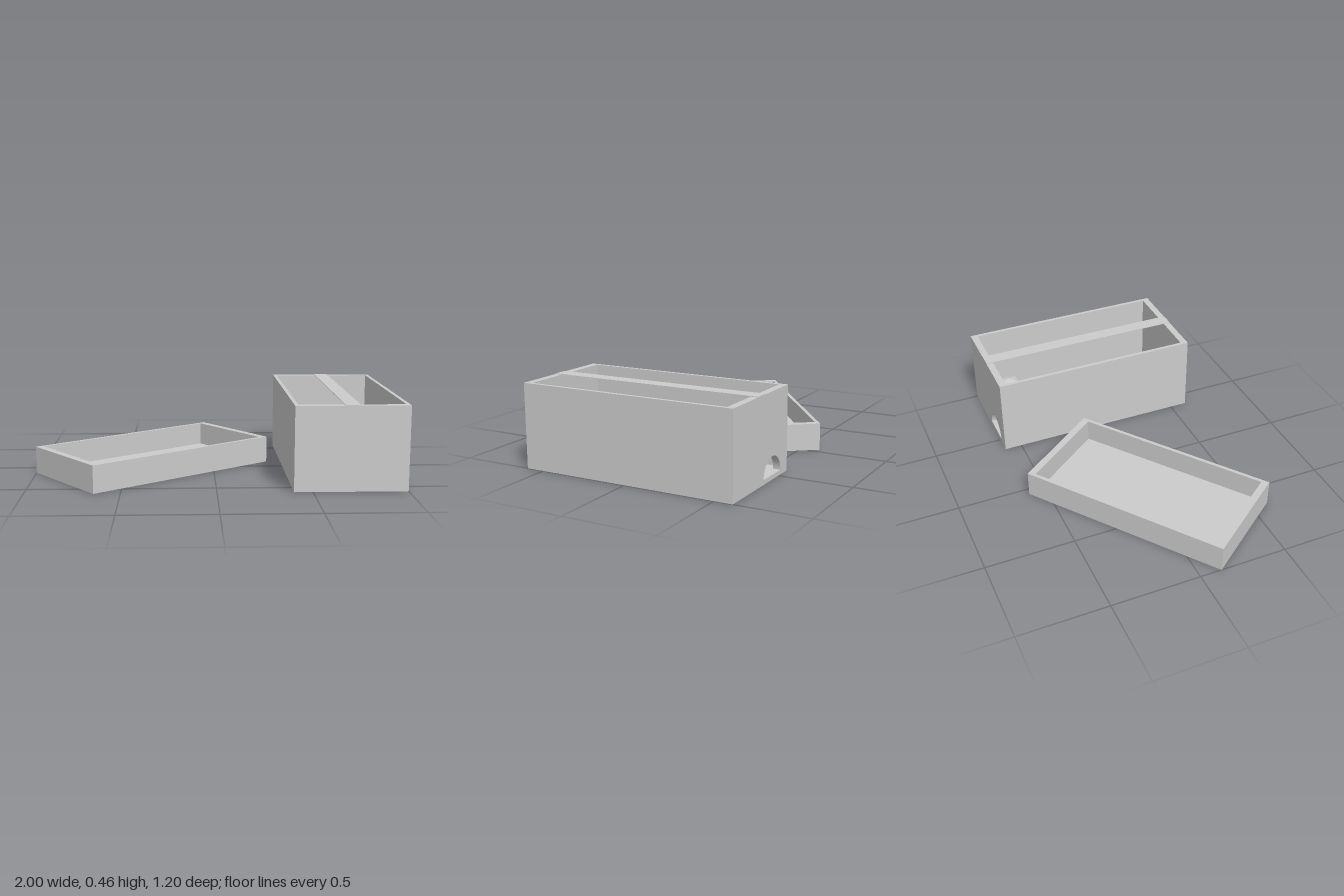
import * as THREE from 'three';

const grey = new THREE.MeshStandardMaterial({ color: 0xcccccc, flatShading: true });
const WIDTH = 0.6, LENGTH = 1.2, SIDE = 0.02, END = 0.04;

function add(parent, name, geometry, x, y, z) {
  const mesh = new THREE.Mesh(geometry, grey);
  mesh.name = name;
  mesh.position.set(x, y, z);
  parent.add(mesh);
  return mesh;
}

// Upright end panel, optionally pierced by a semicircular doorway
function endPanel(height, door) {
  const w = WIDTH / 2 - SIDE;
  const shape = new THREE.Shape();
  shape.moveTo(-w, 0).lineTo(w, 0);
  shape.lineTo(w, height).lineTo(-w, height).closePath();
  if (door) {
    const hole = new THREE.Path();
    hole.absarc(door.x, 0.001, door.radius, 0, Math.PI, false);
    hole.closePath();
    shape.holes.push(hole);
  }
  return new THREE.ExtrudeGeometry(shape, { depth: END, bevelEnabled: false, curveSegments: 16 });
}

// Open-topped box: floor, two long sides, two ends
function openBox(name, height, floor, door) {
  const box = new THREE.Group();
  box.name = name;
  const wall = height - floor;
  add(box, 'floor', new THREE.BoxGeometry(WIDTH, floor, LENGTH), 0, floor / 2, 0);
  for (const s of [-1, 1]) {
    add(box, s > 0 ? 'leftWall' : 'rightWall', new THREE.BoxGeometry(SIDE, wall, LENGTH),
      s * (WIDTH - SIDE) / 2, floor + wall / 2, 0);
  }
  add(box, 'frontWall', endPanel(wall), 0, floor, LENGTH / 2 - END);
  add(box, 'backWall', endPanel(wall, door), 0, floor, -LENGTH / 2);
  return box;
}

export function createModel() {
  const model = new THREE.Group();
  model.name = 'boxWithLid';

  // Main box with a small arched doorway at the back
  const box = openBox('box', 0.454, 0.024, { x: -0.125, radius: 0.098 });
  box.position.x = 0.7;
  model.add(box);

  // Thin strip laid along the middle of the open top
  add(box, 'topStrip', new THREE.BoxGeometry(0.08, 0.003, LENGTH), 0, 0.4555, 0);

  // Faceted ball resting on the floor near the back
  add(box, 'ball', new THREE.IcosahedronGeometry(0.1, 1), 0.1, 0.123, -0.437);

  // Shallow lid lying upside down beside the box
  const lid = openBox('lid', 0.15, 0.02);
  lid.position.x = -0.341;
  lid.rotation.y = THREE.MathUtils.degToRad(37 + 90);
  model.add(lid);

  return model;
}
